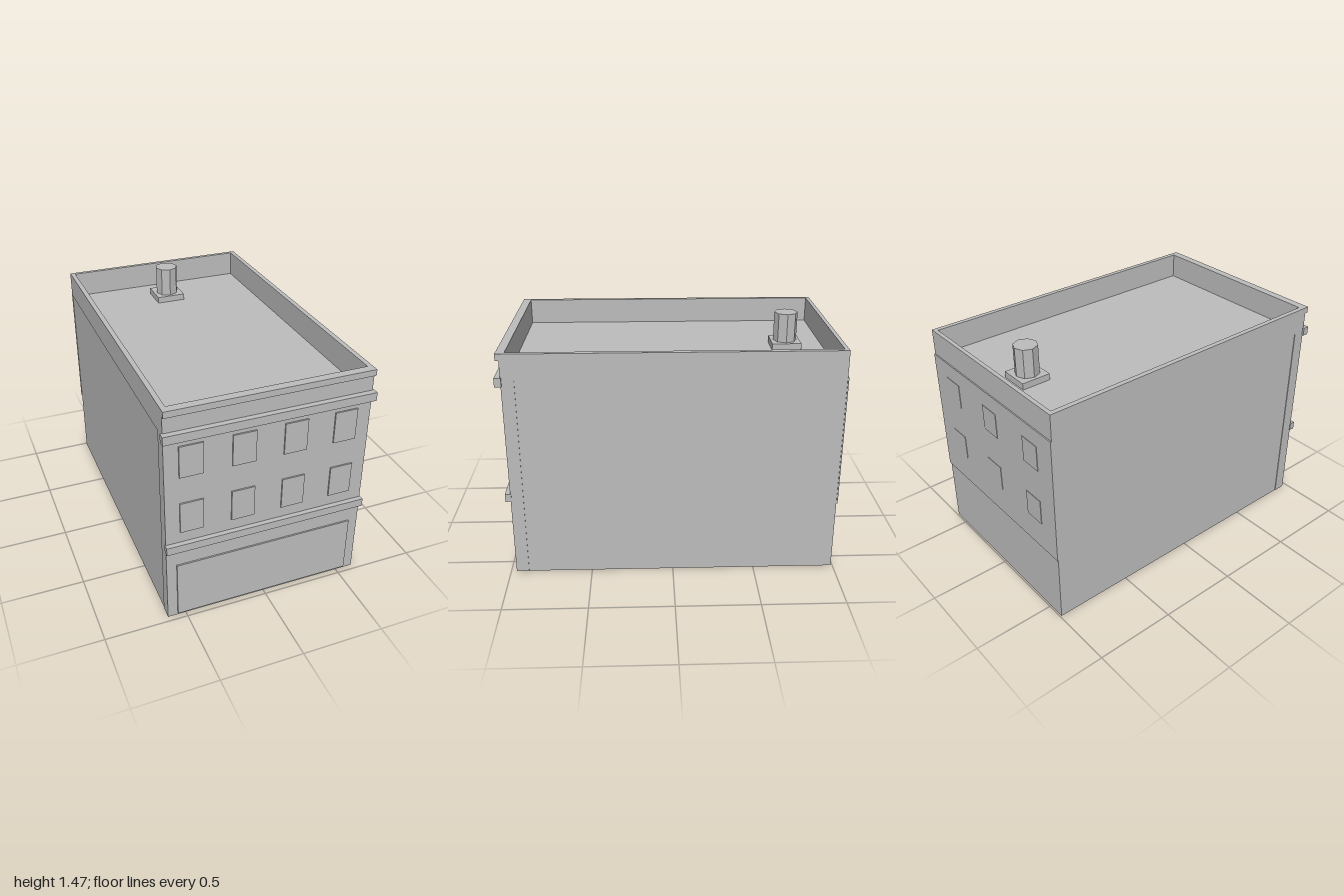
import * as THREE from 'three';

const plaster = new THREE.MeshStandardMaterial({ color: 0xbcbcbc });
plaster.name = 'light grey plaster';

export function createModel() {
  const model = new THREE.Group();
  model.name = 'townBuilding';

  const add = (name, geometry) => {
    const mesh = new THREE.Mesh(geometry, plaster);
    mesh.name = name;
    model.add(mesh);
    return mesh;
  };
  // Box given by its lower and upper limits on each axis
  const block = (name, x0, x1, y0, y1, z0, z1) =>
    add(name, new THREE.BoxGeometry(x1 - x0, y1 - y0, z1 - z0))
      .position.set((x0 + x1) / 2, (y0 + y1) / 2, (z0 + z1) / 2);

  const W = 0.61, FRONT = 0.966, BACK = -0.99, ROOF = 1.25, TOP = 1.41;

  // Main volume: side walls sit slightly back from the facade and parapet
  block('mainWalls', -W + 0.004, W - 0.004, 0, ROOF, BACK, 0.89);
  block('frontWall', -W, W, 0, ROOF, 0.89, FRONT);
  block('rearWallPanel', -W, W, 0.44, ROOF, -0.997, BACK);

  // Parapet: a rectangular ring around the sunken flat roof
  const ring = new THREE.Shape([
    new THREE.Vector2(-W, -FRONT), new THREE.Vector2(W, -FRONT),
    new THREE.Vector2(W, -BACK), new THREE.Vector2(-W, -BACK),
  ]);
  ring.holes.push(new THREE.Path([
    new THREE.Vector2(-0.58, -0.935), new THREE.Vector2(-0.58, 0.965),
    new THREE.Vector2(0.58, 0.965), new THREE.Vector2(0.58, -0.935),
  ]));
  const parapet = add('parapet',
    new THREE.ExtrudeGeometry(ring, { depth: TOP - ROOF, bevelEnabled: false }));
  parapet.rotation.x = -Math.PI / 2;
  parapet.position.y = ROOF;

  // Facade mouldings
  block('topCornice', -W, W, 1.372, TOP, FRONT, 0.986);
  block('upperBelt', -0.621, 0.621, 1.22, 1.272, 0.96, 1);
  block('lowerBelt', -0.615, 0.615, 0.492, 0.542, 0.96, 0.996);

  // Shopfront and front windows
  block('shopfront', -0.55, 0.55, 0.015, 0.38, FRONT, 0.975);
  for (const y of [0.613, 0.98])
    for (const x of [-0.457, -0.153, 0.153, 0.457])
      block('frontWindow', x - 0.069, x + 0.069, y, y + 0.196, FRONT, 0.975);

  // Rear windows
  for (const y of [0.622, 0.988])
    for (const x of [-0.405, 0, 0.405])
      block('rearWindow', x - 0.068, x + 0.068, y, y + 0.16, -1, -0.997);

  // Roof chimney
  block('chimneyBase', -0.092, 0.092, ROOF, 1.29, -0.819, -0.637);
  const flue = new THREE.CylinderGeometry(0.073, 0.073, 0.18, 8).toNonIndexed();
  flue.computeVertexNormals();
  add('chimneyFlue', flue).position.set(0, 1.38, -0.727);

  return model;
}
